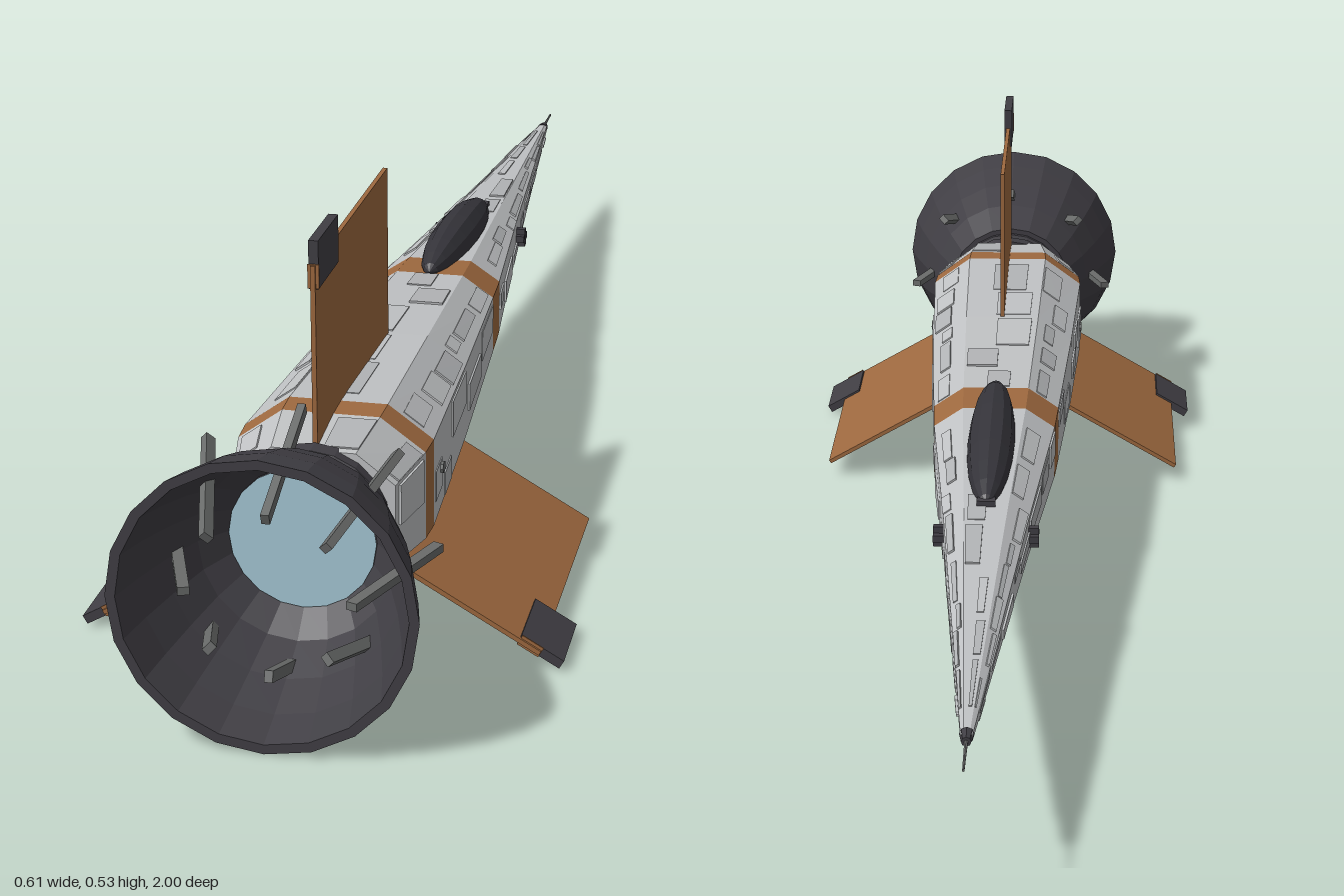
import * as THREE from 'three';
import { mergeGeometries } from 'three/addons/utils/BufferGeometryUtils.js';
import { ConvexGeometry } from 'three/addons/geometries/ConvexGeometry.js';

const AXIS_Y = 0.183;

function material(name, color) {
  const m = new THREE.MeshStandardMaterial({ color, flatShading: true });
  m.name = name;
  return m;
}

function createMaterials() {
  return {
    hull: material('hull light grey', 0xc0c2c4),
    panel: material('panel grey', 0xb2b4b6),
    orange: material('orange brown', 0x9e693f),
    dark: material('engine charcoal', 0x403e44),
    canopy: material('canopy black', 0x35343a),
    strut: material('strut grey', 0x6a6c6b),
    glow: material('exhaust blue', 0xa6c8d6),
  };
}

// Hull stations: z, half width, half height
const STATIONS = [
  [-0.92, 0.007, 0.006], [-0.33, 0.057, 0.045], [0, 0.088, 0.068],
  [0.35, 0.108, 0.088], [0.62, 0.12, 0.1], [0.66, 0.118, 0.099], [0.75, 0.1, 0.088],
];

// Eight-sided hull section, counter-clockwise seen from +z
function section(z) {
  let i = 0;
  while (i < STATIONS.length - 2 && z > STATIONS[i + 1][0]) i++;
  const [a, b] = [STATIONS[i], STATIONS[i + 1]];
  const t = (z - a[0]) / (b[0] - a[0]);
  const w = THREE.MathUtils.lerp(a[1], b[1], t);
  const h = THREE.MathUtils.lerp(a[2], b[2], t);
  return [[1, -0.58], [1, 0.58], [0.52, 1], [-0.52, 1], [-1, 0.58], [-1, -0.58], [-0.52, -1], [0.52, -1]]
    .map(([x, y]) => new THREE.Vector3(x * w, y * h, z));
}

// Skin joining the hull sections at the given z values, capped at both ends
function loft(zs) {
  const rings = zs.map(section);
  const pos = [];
  const tri = (...pts) => pts.forEach((p) => pos.push(p.x, p.y, p.z));
  for (let i = 0; i < rings.length - 1; i++) {
    for (let j = 0; j < 8; j++) {
      const k = (j + 1) % 8;
      tri(rings[i][j], rings[i][k], rings[i + 1][k]);
      tri(rings[i][j], rings[i + 1][k], rings[i + 1][j]);
    }
  }
  const first = rings[0], last = rings[rings.length - 1];
  for (let j = 1; j < 7; j++) {
    tri(first[0], first[j + 1], first[j]);
    tri(last[0], last[j], last[j + 1]);
  }
  const g = new THREE.BufferGeometry();
  g.setAttribute('position', new THREE.Float32BufferAttribute(pos, 3));
  g.computeVertexNormals();
  return g;
}

// Thin raised plate on hull side j, from z0 to z1 and across u0 to u1
function plate(j, z0, z1, u0, u1, thick) {
  const [r0, r1] = [section(z0), section(z1)];
  const k = (j + 1) % 8;
  const at = (r, u) => r[j].clone().lerp(r[k], u);
  const base = [at(r0, u0), at(r0, u1), at(r1, u1), at(r1, u0)];
  const n = base[1].clone().sub(base[0]).cross(base[3].clone().sub(base[0])).normalize();
  return new ConvexGeometry([
    ...base.map((p) => p.clone().addScaledVector(n, -0.002)),
    ...base.map((p) => p.clone().addScaledVector(n, thick)),
  ]);
}

function hullPlates() {
  let seed = 11;
  const rnd = () => (seed = (seed * 16807) % 2147483647) / 2147483647;
  const sets = [[], []];
  const runs = [[-0.86, -0.02], [0.07, 0.34], [0.36, 0.61], [0.67, 0.74]];
  for (let j = 0; j < 8; j++) {
    for (const [start, end] of runs) {
      let z = start;
      while (z < end - 0.03) {
        const z1 = Math.min(end, z + 0.05 + rnd() * 0.07);
        const u = rnd() * 0.5;
        const set = sets[rnd() < 0.5 ? 0 : 1];
        set.push(plate(j, z, z1, u, u + 0.25 + rnd() * 0.25, 0.001 + rnd() * 0.002));
        z = z1 + rnd() * 0.04;
      }
    }
  }
  return sets.map((s) => mergeGeometries(s));
}

// Ring-shaped parts turned about the z axis; profile points are [radius, z]
function turned(profile, sides) {
  return new THREE.LatheGeometry(profile.map(([r, z]) => new THREE.Vector2(r, z)), sides).rotateX(Math.PI / 2);
}

export function createModel() {
  const M = createMaterials();
  const model = new THREE.Group();
  model.name = 'rocketPlane';
  const craft = new THREE.Group();
  craft.name = 'craft';
  craft.position.y = AXIS_Y;
  model.add(craft);

  const add = (parent, name, geometry, mat, x = 0, y = 0, z = 0) => {
    const mesh = new THREE.Mesh(geometry, mat);
    mesh.name = name;
    mesh.position.set(x, y, z);
    parent.add(mesh);
    return mesh;
  };

  // Fuselage, split at the painted bands
  add(craft, 'noseHull', loft([-0.92, -0.33, -0.01]), M.hull);
  add(craft, 'cockpitBand', loft([-0.01, 0, 0.065]), M.orange);
  add(craft, 'midHull', loft([0.065, 0.35, 0.62]), M.hull);
  add(craft, 'rearBand', loft([0.62, 0.66]), M.orange);
  add(craft, 'tailHull', loft([0.66, 0.75]), M.hull);
  const [lightPlates, greyPlates] = hullPlates();
  add(craft, 'lightHullPlates', lightPlates, M.hull);
  add(craft, 'greyHullPlates', greyPlates, M.panel);

  // Nose probe
  add(craft, 'noseCap', new THREE.CylinderGeometry(0.009, 0.006, 0.02, 8).rotateX(Math.PI / 2), M.dark, 0, 0, -0.92);
  add(craft, 'noseProbe', new THREE.CylinderGeometry(0.0025, 0.0015, 0.08, 6).rotateX(Math.PI / 2), M.strut, 0, 0, -0.96);

  // Canopy: slim faceted teardrop following the slope of the spine
  const canopy = new THREE.SphereGeometry(1, 12, 10).rotateX(Math.PI / 2).scale(0.033, 0.036, 0.2);
  add(craft, 'canopy', canopy, M.canopy, 0, 0.061, -0.13).rotation.x = -0.07;
  add(craft, 'canopyFrame', new THREE.BoxGeometry(0.025, 0.012, 0.015), M.dark, 0, 0.047, -0.325);

  // Nose steering jets, a cross of four nozzles on each side
  for (const s of [-1, 1]) {
    const jets = new THREE.Group();
    jets.name = s > 0 ? 'leftSteeringJets' : 'rightSteeringJets';
    jets.position.set(s * 0.06, 0, -0.325);
    craft.add(jets);
    for (let i = 0; i < 4; i++) {
      const a = (i * Math.PI) / 2;
      add(jets, 'jetNozzle', new THREE.BoxGeometry(0.022, 0.01, 0.01), M.dark,
        0, Math.cos(a) * 0.009, Math.sin(a) * 0.009);
    }
    add(craft, 'sidePort', new THREE.CylinderGeometry(0.008, 0.008, 0.008, 8).rotateZ(Math.PI / 2), M.strut,
      s * 0.119, 0, 0.57);
  }

  // Three fins with tip blocks
  ['topFin', 'leftFin', 'rightFin'].forEach((name, i) => {
    const fin = new THREE.Group();
    fin.name = name;
    fin.rotation.z = [0, -1, 1][i] * (Math.PI * 2) / 3;
    craft.add(fin);
    add(fin, 'finPanel', new THREE.BoxGeometry(0.006, 0.267, 0.39), M.orange, 0, 0.1835, 0.545);
    add(fin, 'finTipBlock', new THREE.BoxGeometry(0.012, 0.06, 0.1), M.dark, 0, 0.317, 0.685);
    add(fin, 'finTipInset', new THREE.BoxGeometry(0.014, 0.03, 0.002), M.orange, 0, 0.303, 0.736);
  });

  // Engine collar, bell and exhaust disc
  add(craft, 'engineCollar', turned([[0, 0.74], [0.094, 0.74], [0.094, 0.765], [0.086, 0.768],
    [0.086, 0.78], [0.094, 0.782], [0.094, 0.8], [0, 0.8]], 20), M.dark);
  add(craft, 'engineBell', turned([[0.085, 0.79], [0.102, 0.79], [0.13, 0.84], [0.152, 0.895], [0.17, 0.95],
    [0.182, 1], [0.17, 1], [0.158, 0.95], [0.141, 0.895], [0.119, 0.84], [0.09, 0.805], [0, 0.805]], 20), M.dark);
  add(craft, 'exhaustDisc', new THREE.CircleGeometry(0.09, 20), M.glow, 0, 0, 0.809);

  // Eight slanted struts piercing the bell
  for (let i = 0; i < 8; i++) {
    const spoke = new THREE.Group();
    spoke.name = 'bellStrut';
    spoke.rotation.z = (i * Math.PI) / 4;
    craft.add(spoke);
    add(spoke, 'strutBar', new THREE.BoxGeometry(0.01, 0.014, 0.185), M.strut, 0, 0.13, 0.885)
      .rotation.x = Math.atan2(0.065, 0.175);
  }
  return model;
}
